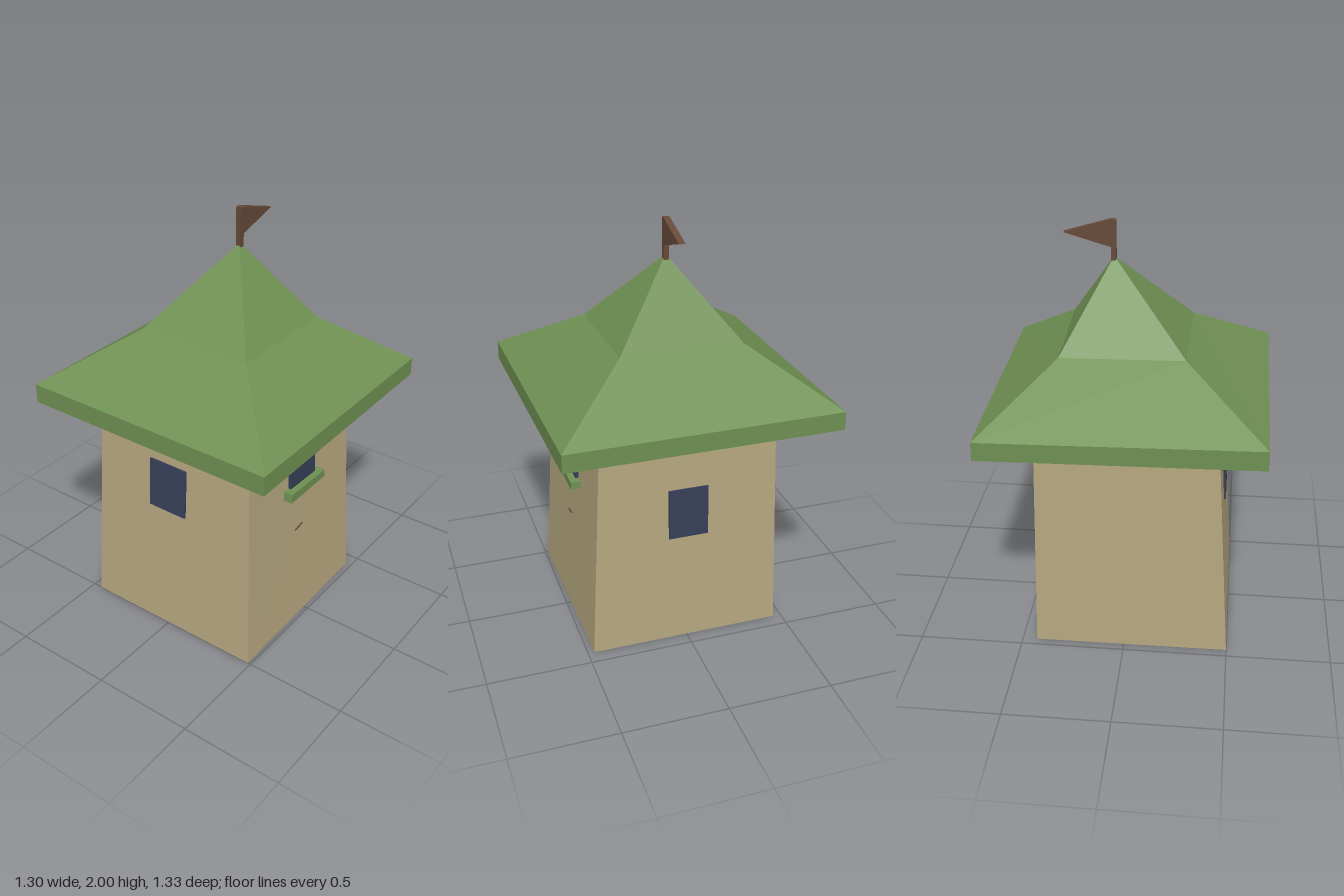
import * as THREE from 'three';

const mat = (name, color) => {
  const m = new THREE.MeshStandardMaterial({ color });
  m.name = name;
  return m;
};

// Joins four-cornered rings with flat faces and closes both ends.
// Each ring runs anticlockwise seen from the last ring's end; a ring may shrink to a point.
function loft(rings) {
  const pos = [];
  const tri = (a, b, c) => {
    const area = new THREE.Vector3().subVectors(b, a).cross(new THREE.Vector3().subVectors(c, a));
    if (area.length() > 1e-8) pos.push(...a, ...b, ...c);
  };
  const r = rings.map((ring) => ring.map((p) => new THREE.Vector3(...p)));
  for (let k = 0; k + 1 < r.length; k++) {
    for (let i = 0; i < 4; i++) {
      const j = (i + 1) % 4;
      tri(r[k][i], r[k][j], r[k + 1][j]);
      tri(r[k][i], r[k + 1][j], r[k + 1][i]);
    }
  }
  const s = r[0], e = r[r.length - 1];
  tri(s[0], s[2], s[1]); tri(s[0], s[3], s[2]);
  tri(e[0], e[1], e[2]); tri(e[0], e[2], e[3]);
  const g = new THREE.BufferGeometry();
  g.setAttribute('position', new THREE.Float32BufferAttribute(pos, 3));
  g.computeVertexNormals();
  return g;
}

// A thin slab: the outer face's corners pushed back by an offset
const slab = (face, [dx, dy, dz]) =>
  loft([face.map(([x, y, z]) => [x - dx, y - dy, z - dz]), face]);

export function createModel() {
  const group = new THREE.Group();
  const wall = mat('tan plaster', 0xb6a780);
  const green = mat('green roof', 0x6f9153);
  const glass = mat('dark blue glass', 0x373e58);
  const wood = mat('brown wood', 0x664939);
  const add = (name, geometry, material) => {
    const mesh = new THREE.Mesh(geometry, material);
    mesh.name = name;
    group.add(mesh);
    return mesh;
  };

  // Slightly crooked, tapering tower
  add('tower', loft([
    [[-0.5, 0, 0.485], [0.43, 0, 0.47], [0.43, 0, -0.46], [-0.5, 0, -0.455]],
    [[-0.427, 1.13, 0.43], [0.41, 1.13, 0.412], [0.41, 1.13, -0.43], [-0.427, 1.13, -0.425]],
  ]), wall);

  // Roof: upright eaves, then two slopes meeting at an off-centre peak
  const peak = [0.085, 1.83, 0];
  add('roof', loft([
    [[-0.65, 1.122, 0.66], [0.65, 1.115, 0.635], [0.635, 1.112, -0.665], [-0.64, 1.117, -0.64]],
    [[-0.65, 1.215, 0.66], [0.65, 1.202, 0.635], [0.635, 1.2, -0.665], [-0.64, 1.21, -0.64]],
    [[-0.27, 1.455, 0.295], [0.315, 1.455, 0.285], [0.305, 1.45, -0.3], [-0.265, 1.455, -0.29]],
    [peak, peak, peak, peak],
  ]), green);

  // Windows: front and both sides
  add('frontWindow', slab(
    [[-0.122, 0.76, 0.455], [0.092, 0.76, 0.452], [0.092, 0.985, 0.441], [-0.12, 0.992, 0.444]],
    [0, 0, 0.03]), glass);
  add('leftWindow', slab(
    [[0.429, 0.56, 0.092], [0.429, 0.56, -0.1], [0.425, 0.812, -0.1], [0.425, 0.812, 0.092]],
    [0.03, 0, 0]), glass);
  add('rightWindow', slab(
    [[-0.467, 0.655, -0.12], [-0.467, 0.655, 0.09], [-0.451, 0.905, 0.09], [-0.451, 0.905, -0.12]],
    [-0.03, 0, 0]), glass);

  // Window sill
  add('windowSill', slab(
    [[-0.165, 0.737, 0.487], [0.128, 0.733, 0.483], [0.128, 0.77, 0.483], [-0.16, 0.782, 0.487]],
    [0, 0, 0.06]), green);

  // Small chip in the front wall
  const chip = add('wallChip', new THREE.BoxGeometry(0.06, 0.006, 0.01), wood);
  chip.position.set(-0.04, 0.519, 0.451);
  chip.rotation.z = 0.15;

  // Pole and pennant
  const pole = add('flagPole', new THREE.BoxGeometry(0.024, 0.2, 0.026), wood);
  pole.position.set(0.087, 1.895, 0);
  const pennant = new THREE.Shape();
  pennant.moveTo(0.08, 2);
  pennant.lineTo(0.097, 1.875);
  pennant.lineTo(0.312, 1.938);
  pennant.lineTo(0.1, 2);
  const flag = add('pennant', new THREE.ExtrudeGeometry(pennant, { depth: 0.03, bevelEnabled: false }), wood);
  flag.position.z = -0.015;

  return group;
}
